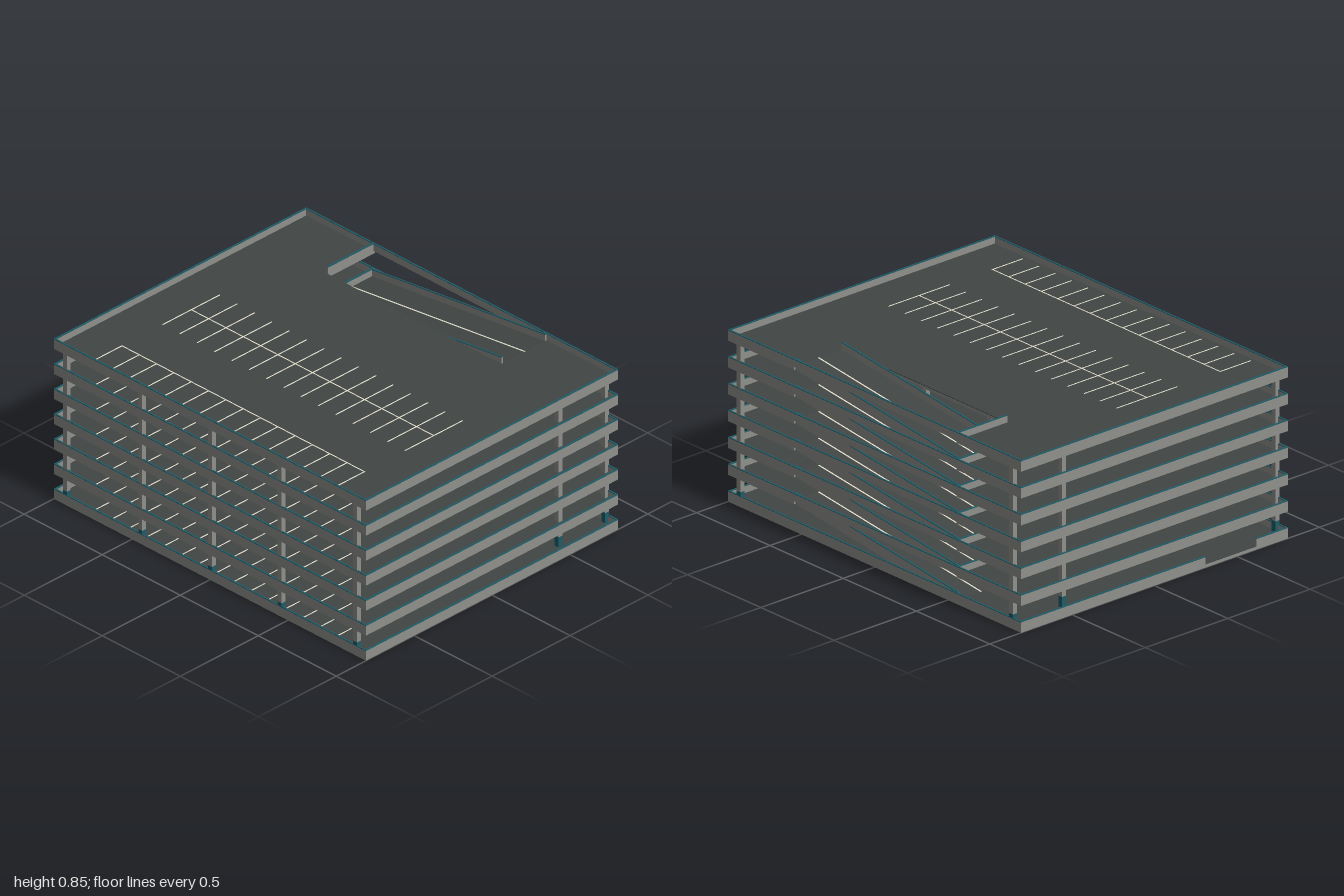
import * as THREE from 'three';

const mat = (name, color) => {
  const m = new THREE.MeshStandardMaterial({ color });
  m.name = name;
  return m;
};

export function createModel() {
  const concrete = mat('concrete', 0x8f918b);
  const asphalt = mat('asphalt', 0x414645);
  const paint = mat('linePaint', 0xe8e4d2);
  const teal = mat('tealTrim', 0x1c5c68);

  const FLOORS = 7, PITCH = 0.1327;
  const HX = 0.81, HZ = 1, T = 0.009;          // half sizes, wall thickness
  const SLAB = 0.015, DECK = 0.003, WALL = 0.051, CAP = 0.003;
  const RX = 0.51, RZ0 = -0.56, RZ1 = 0.55;    // ramp opening
  const slope = PITCH / (RZ1 - RZ0);

  // Box given by its limits; a sloped box rises towards +z along the ramp
  function box(parent, name, material, x0, x1, y0, y1, z0, z1, sloped = false) {
    const g = new THREE.BoxGeometry(x1 - x0, y1 - y0, z1 - z0);
    g.translate((x0 + x1) / 2, (y0 + y1) / 2, (z0 + z1) / 2);
    if (sloped) {
      const p = g.attributes.position;
      for (let i = 0; i < p.count; i++) p.setY(i, p.getY(i) + (p.getZ(i) - RZ0) * slope);
      g.computeVertexNormals();
    }
    const m = new THREE.Mesh(g, material);
    m.name = name;
    parent.add(m);
    return m;
  }

  // Wall with a thin trim on top
  function wall(parent, name, x0, x1, z0, z1, y0 = 0, sloped = false) {
    box(parent, name, concrete, x0, x1, y0, WALL, z0, z1, sloped);
    box(parent, name + 'Trim', teal, x0, x1, WALL, WALL + CAP, z0, z1, sloped);
  }

  // Floor plate, notched for the ramp on the upper floors
  function plate(parent, name, material, y, h, notched) {
    const a = HX - T / 2, b = HZ - T / 2;
    const pts = notched
      ? [[-a, -b], [a, -b], [a, -RZ1], [RX, -RZ1], [RX, -RZ0], [a, -RZ0], [a, b], [-a, b]]
      : [[-a, -b], [a, -b], [a, b], [-a, b]];
    const shape = new THREE.Shape(pts.map(p => new THREE.Vector2(p[0], p[1])));
    const g = new THREE.ExtrudeGeometry(shape, { depth: h, bevelEnabled: false });
    g.rotateX(-Math.PI / 2);
    const m = new THREE.Mesh(g, material);
    m.name = name;
    m.position.y = y;
    parent.add(m);
  }

  // Painted parking bays
  function bays(parent) {
    const y = SLAB + DECK, h = 0.001, w = 0.003;
    for (const [x0, x1, spine] of [[-0.78, -0.592, -0.595], [-0.335, 0.035, -0.15]]) {
      for (let i = 0; i < 15; i++) {
        const z = -0.778 + i * 0.111;
        box(parent, 'bayLine', paint, x0, x1, y, y + h, z - w, z + w);
      }
      box(parent, 'baySpine', paint, spine - w, spine + w, y, y + h * 1.3, -0.781, 0.779);
    }
  }

  function columns(parent, ground) {
    const c = 0.0125;
    const rows = [
      [-0.7965, [-0.93, -0.447, 0, 0.447, 0.93]],
      [-0.15, [-0.72, -0.275, 0.17, 0.613]],
      [0.4975, [-0.93, -0.447, 0, 0.447, 0.93]],
      [0.7965, [-0.93, 0.93]],
    ];
    for (const [x, zs] of rows) for (const z of zs) {
      const foot = ground ? 0.072 : SLAB;
      box(parent, 'column', concrete, x - c, x + c, foot, PITCH, z - c, z + c);
      if (ground) box(parent, 'columnFoot', teal, x - c, x + c, SLAB, foot, z - c, z + c);
    }
  }

  function ramp(parent) {
    const g = new THREE.Group();
    g.name = 'ramp';
    const x1 = HX - T - 0.001;
    box(g, 'rampSlab', concrete, RX + 0.001, x1, 0, SLAB, RZ0, RZ1, true);
    box(g, 'rampDeck', asphalt, RX + T, x1 - T, SLAB, SLAB + DECK, RZ0, RZ1, true);
    box(g, 'rampLine', paint, 0.657, 0.665, SLAB + DECK, SLAB + DECK + 0.001, RZ0, RZ1, true);
    wall(g, 'rampInnerWall', RX + 0.001, RX + 0.001 + T, RZ0, RZ1, 0, true);
    wall(g, 'rampOuterWall', x1 - T, x1, RZ0, RZ1, 0, true);
    parent.add(g);
  }

  const model = new THREE.Group();
  model.name = 'parkingGarage';
  for (let k = 0; k < FLOORS; k++) {
    const f = new THREE.Group();
    f.name = 'floor' + k;
    f.position.y = k * PITCH;
    plate(f, 'slab', concrete, 0.0005, SLAB - 0.0005, k > 0);
    plate(f, 'deck', asphalt, SLAB, DECK, k > 0);
    bays(f);

    // Parapets around the edge
    const zi = HZ - T;
    wall(f, 'frontParapet', -HX, HX, zi, HZ);
    wall(f, 'rightParapet', -HX, -HX + T, -zi, zi);
    if (k === 0) {
      // Vehicle entrance at the back
      wall(f, 'backParapet', -HX, -0.62, -HZ, -zi);
      wall(f, 'backParapet', -0.31, HX, -HZ, -zi);
      box(f, 'entranceSill', concrete, -0.62, -0.31, 0, SLAB, -HZ, -zi);
      box(f, 'entranceDeck', asphalt, -0.62, -0.31, SLAB, SLAB + DECK, -HZ, -zi);
      wall(f, 'leftParapet', HX - T, HX, -zi, zi);
    } else {
      wall(f, 'backParapet', -HX, HX, -HZ, -zi);
      wall(f, 'leftParapet', HX - T, HX, -zi, RZ0);
      wall(f, 'leftParapet', HX - T, HX, RZ1, zi);
      wall(f, 'openingRail', HX - T, HX, RZ0, RZ1, SLAB);
      wall(f, 'openingEndWall', RX, HX - T, RZ0 - T, RZ0);
    }
    if (k < FLOORS - 1) {
      columns(f, k === 0);
      ramp(f);
    }
    model.add(f);
  }
  return model;
}
